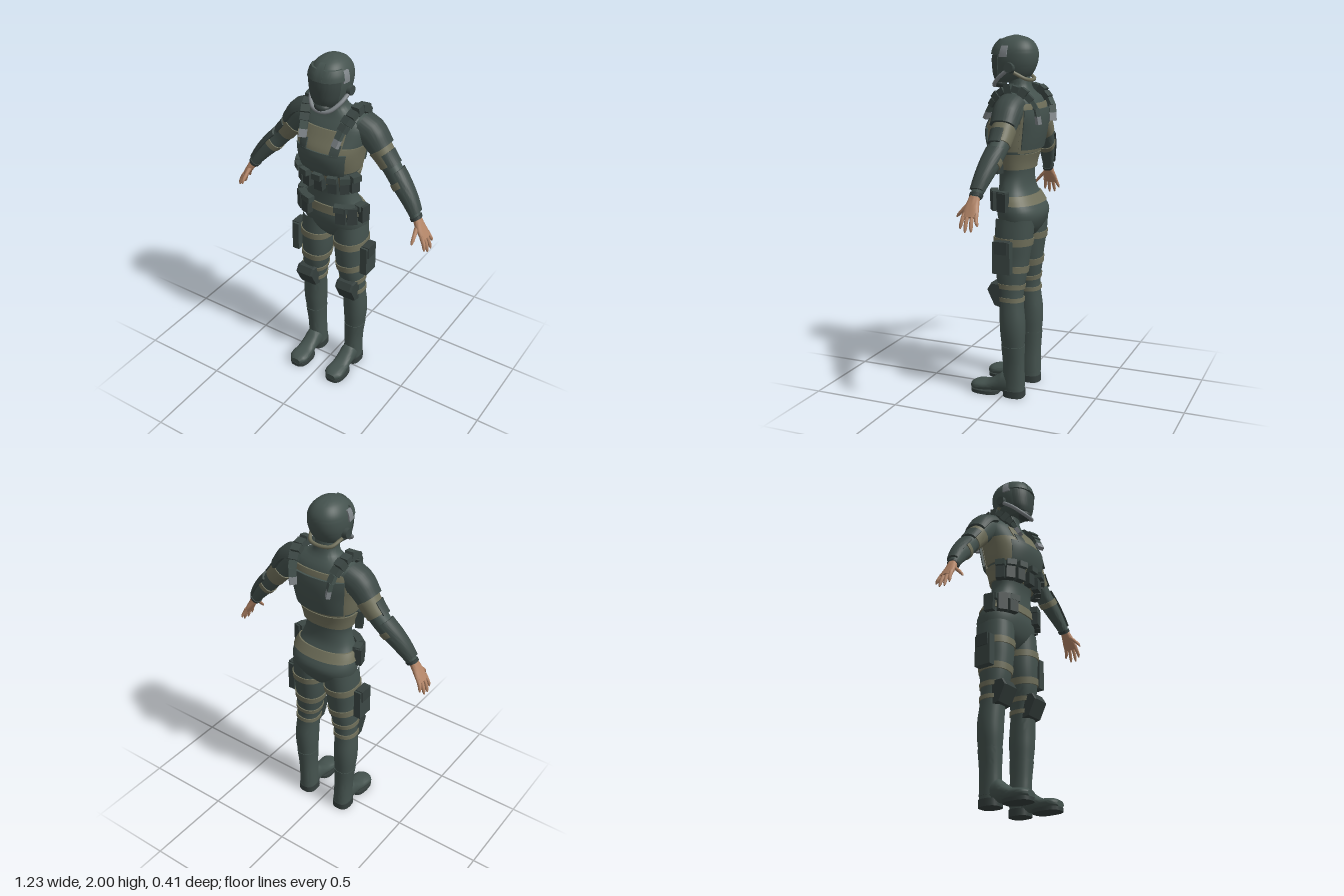
import * as THREE from 'three';
import { toCreasedNormals } from 'three/addons/utils/BufferGeometryUtils.js';

const mat = (name, color) => {
  const m = new THREE.MeshStandardMaterial({ color });
  m.name = name;
  return m;
};
const SUIT = mat('suit green', 0x44524e), ARMOUR = mat('armour green', 0x3c4845), GEAR = mat('gear dark', 0x353f3d);
const OLIVE = mat('webbing olive', 0x70705b), SKIN = mat('skin', 0xb48668), GREY = mat('metal grey', 0x80868a);
const D = Math.PI / 180;

// Cross-sections from bottom to top: [x, y, z, radius across, radius in z]
const TORSO = [
  [0, .92, -.06, .05, .07], [0, .97, -.06, .165, .105], [0, 1.05, -.062, .196, .128], [0, 1.12, -.045, .183, .108],
  [0, 1.18, -.03, .153, .09], [0, 1.25, -.025, .135, .086], [0, 1.32, -.02, .147, .097], [0, 1.4, -.014, .168, .127],
  [0, 1.5, -.018, .184, .143], [0, 1.58, -.04, .198, .126], [0, 1.64, -.052, .195, .105], [0, 1.675, -.055, .16, .085],
  [0, 1.7, -.05, .1, .07], [0, 1.725, -.045, .068, .06], [0, 1.8, -.03, .062, .06]];
const LEG = [
  [.127, .02, -.06, .05, .058], [.128, .1, -.058, .048, .058], [.132, .2, -.057, .048, .058], [.137, .3, -.056, .056, .063],
  [.14, .38, -.055, .064, .069], [.14, .45, -.053, .066, .07], [.135, .55, -.045, .064, .067], [.13, .62, -.042, .066, .069],
  [.122, .7, -.04, .075, .083], [.112, .8, -.042, .084, .095], [.109, .9, -.048, .09, .104], [.102, 1.02, -.056, .09, .108]];
const ARM = [
  [.53, 1.205, -.012, .026, .027], [.47, 1.29, -.03, .041, .038], [.41, 1.36, -.045, .049, .046], [.36, 1.415, -.057, .05, .048],
  [.31, 1.475, -.062, .052, .053], [.26, 1.535, -.06, .061, .059], [.2, 1.6, -.06, .073, .066], [.14, 1.625, -.06, .07, .068]];
const HEAD = [
  [0, 1.75, .02, .055, .07], [0, 1.78, .005, .082, .098], [0, 1.83, -.008, .099, .117], [0, 1.88, -.014, .105, .124],
  [0, 1.93, -.017, .099, .117], [0, 1.97, -.018, .074, .09], [0, 1.99, -.018, .045, .055], [0, 2, -.018, .012, .015]];
// Foot sections run along the foot: [x, forward, -height, half width, half height]
const FOOT = [
  [.127, -.06, -.075, .046, .06], [.127, 0, -.078, .048, .062], [.127, .04, -.065, .048, .045], [.127, .09, -.048, .052, .032],
  [.127, .14, -.043, .057, .029], [.127, .175, -.039, .052, .026], [.127, .197, -.035, .03, .018]];
const PALM = [[.588, 1.115, -.01, .013, .04], [.57, 1.145, -.008, .016, .042], [.548, 1.18, -.008, .02, .034], [.528, 1.215, -.012, .023, .026]];

// Smoothly interpolated [x, z, ru, rv] at height y
function at(s, y) {
  let i = 0;
  while (i < s.length - 2 && y > s[i + 1][1]) i++;
  const h = s[i + 1][1] - s[i][1], f = Math.min(1, Math.max(0, (y - s[i][1]) / h));
  const slope = (k, c) => {
    const a = s[Math.max(0, k - 1)], b = s[Math.min(s.length - 1, k + 1)];
    return (b[c] - a[c]) / (b[1] - a[1]);
  };
  return [0, 2, 3, 4].map(c => {
    const f2 = f * f, f3 = f2 * f;
    return (2 * f3 - 3 * f2 + 1) * s[i][c] + (f3 - 2 * f2 + f) * h * slope(i, c)
      + (3 * f2 - 2 * f3) * s[i + 1][c] + (f3 - f2) * h * slope(i + 1, c);
  });
}

// Surface point: angle 0 is the outer side, 90 degrees the front
function point(s, y, a, g = 0, k = 1, p = 0.88) {
  const [x, z, ru, rv] = at(s, y), e = .004;
  const lo = Math.max(s[0][1], y - e), hi = Math.min(s[s.length - 1][1], y + e);
  const d = (at(s, hi)[0] - at(s, lo)[0]) / (hi - lo), n = Math.hypot(d, 1);
  const pw = v => Math.sign(v) * Math.abs(v) ** p;
  const c = pw(Math.cos(a)) * (ru + g) * k, w = pw(Math.sin(a)) * (rv + g) * k;
  return [x + c / n, y - c * d / n, z + w];
}

// Skin over the sections, or a raised band or plate following them
function wrap(s, y0, y1, { from = 0, to = 360, grow = 0, cap = false, rows = 0, cols = 32, p } = {}) {
  const full = to - from === 360, R = rows || Math.max(3, Math.ceil((y1 - y0) / .02)), rim = -.004;
  const ys = [], as = [], pos = [], idx = [];
  for (let i = 0; i <= R; i++) ys.push([y0 + (y1 - y0) * i / R, grow, 1]);
  for (let j = 0; j <= cols; j++) as.push([(from + (to - from) * j / cols) * D, false]);
  if (grow) { ys.unshift([y0, rim, 1]); ys.push([y1, rim, 1]); }
  if (cap) { ys.unshift([y0, 0, 0]); ys.push([y1, 0, 0]); }
  if (!full) { as.unshift([from * D, true]); as.push([to * D, true]); }
  ys.forEach(([y, g, k]) => as.forEach(([a, edge]) => pos.push(...point(s, y, a, edge ? rim : g, k, p))));
  const W = as.length;
  for (let i = 0; i < ys.length - 1; i++) for (let j = 0; j < W - 1; j++) {
    const a = i * W + j, b = a + W;
    idx.push(a, b, a + 1, b, b + 1, a + 1);
  }
  const geo = new THREE.BufferGeometry();
  geo.setAttribute('position', new THREE.Float32BufferAttribute(pos, 3));
  geo.setIndex(idx);
  return toCreasedNormals(geo, 40 * D);
}

// Reflected copy with the winding put right
function mirrored(geo) {
  const g = geo.index ? geo.toNonIndexed() : geo.clone();
  for (const key of ['position', 'normal']) {
    const v = g.attributes[key], o = v.clone();
    for (let i = 0; i < v.count; i++) {
      const j = i % 3 === 0 ? i : i % 3 === 1 ? i + 1 : i - 1;
      v.setXYZ(i, -o.getX(j), o.getY(j), o.getZ(j));
    }
  }
  return g;
}

// Pouch-like box sitting on a surface
function boxOn(s, y, deg, grow, size) {
  const a = deg * D, [, , ru, rv] = at(s, y);
  return new THREE.BoxGeometry(...size)
    .rotateY(Math.atan2(Math.cos(a) / ru, Math.sin(a) / rv)).translate(...point(s, y, a, grow));
}

export function createModel() {
  const root = new THREE.Group();
  root.name = 'armouredFigure';
  const add = (name, geo, m) => {
    const mesh = new THREE.Mesh(geo, m);
    mesh.name = name;
    root.add(mesh);
  };
  const pair = (name, geo, m) => { add(name + 'Left', geo, m); add(name + 'Right', mirrored(geo), m); };

  // Torso and vest
  add('torso', wrap(TORSO, .92, 1.8, { cap: true, rows: 50, cols: 48 }), SUIT);
  add('vestSides', wrap(TORSO, 1.39, 1.54, { grow: .006, cols: 48 }), OLIVE);
  add('vestUpperChest', wrap(TORSO, 1.5, 1.62, { from: 54, to: 126, grow: .008 }), OLIVE);
  add('chestPlate', wrap(TORSO, 1.37, 1.51, { from: 42, to: 138, grow: .014 }), SUIT);
  pair('chestPlateCorner', wrap(TORSO, 1.5, 1.56, { from: 56, to: 72, grow: .014, cols: 6 }), ARMOUR);
  add('vestBack', wrap(TORSO, 1.38, 1.645, { from: 212, to: 328, grow: .008 }), OLIVE);
  add('backPlate', wrap(TORSO, 1.4, 1.615, { from: 218, to: 322, grow: .02 }), SUIT);
  add('ribBand', wrap(TORSO, 1.29, 1.375, { grow: .01, cols: 48 }), OLIVE);
  for (let i = 0; i < 7; i++) {
    add('ribPouch', boxOn(TORSO, 1.325, 18 + i * 24, .024, [.05, .105, .04]), GEAR);
    add('ribPouchFlap', boxOn(TORSO, 1.362, 18 + i * 24, .028, [.053, .035, .042]), ARMOUR);
  }

  // Hip belt and its pouches
  add('hipBelt', wrap(TORSO, 1.1, 1.15, { grow: .008, cols: 48 }), OLIVE);
  for (const a of [8, 38, 60]) {
    pair('hipPouch', boxOn(TORSO, 1.122, a, .02, [.055, .1, .038]), GEAR);
    pair('hipPouchFlap', boxOn(TORSO, 1.16, a, .023, [.058, .035, .042]), ARMOUR);
  }

  // Padded shoulder straps
  const strap = new THREE.CatmullRomCurve3([[.1, 1.56, .115], [.115, 1.635, .07], [.14, 1.715, -.01],
    [.143, 1.72, -.08], [.125, 1.645, -.168], [.11, 1.54, -.19]].map(p => new THREE.Vector3(...p)));
  const aim = new THREE.Object3D();
  for (let i = 0; i < 12; i++) {
    const t = (i + .5) / 12, pad = i > 1 && i < 9, end = i === 0 || i === 11;
    aim.position.copy(strap.getPointAt(t));
    aim.lookAt(aim.position.clone().add(strap.getTangentAt(t)));
    aim.updateMatrix();
    const size = pad ? [.05, i % 2 ? .05 : .034, .04] : [.04, .022, .045];
    pair(end ? 'strapBuckle' : 'shoulderStrap', new THREE.BoxGeometry(...size).applyMatrix4(aim.matrix), end ? GREY : pad ? ARMOUR : SUIT);
  }

  // Helmet, visor and chin guard
  add('helmet', wrap(HEAD, 1.75, 2, { cap: true, rows: 28, cols: 40 }), SUIT);
  add('visor', wrap(HEAD, 1.765, 1.895, { from: 28, to: 152, grow: .004 }), ARMOUR);
  add('helmetBrow', wrap(HEAD, 1.9, 1.955, { from: 20, to: 160, grow: .01 }), SUIT);
  add('browRidge', wrap(HEAD, 1.9, 1.98, { from: 80, to: 100, grow: .013, cols: 6 }), SUIT);
  pair('templePlate', wrap(HEAD, 1.885, 1.945, { from: 3, to: 22, grow: .008, cols: 6 }), GREY);
  pair('earPiece', new THREE.CylinderGeometry(.026, .03, .03, 16).rotateZ(-90 * D).translate(.105, 1.83, -.02), ARMOUR);
  const tube = (pts, r) => new THREE.TubeGeometry(new THREE.CatmullRomCurve3(pts.map(p => new THREE.Vector3(...p))), 24, r, 8);
  add('chinGuard', tube([[.108, 1.825, -.02], [.088, 1.775, .05], [.04, 1.735, .095], [-.04, 1.735, .095], [-.088, 1.775, .05], [-.108, 1.825, -.02]], .011), GREY);
  add('chinPiece', new THREE.SphereGeometry(.045, 20, 12).scale(1, .6, .8).translate(0, 1.745, .075), GEAR);
  add('napeBand', tube([[.095, 1.805, -.04], [.06, 1.77, -.1], [-.06, 1.77, -.1], [-.095, 1.805, -.04]], .01), OLIVE);

  // Arms and their armour
  pair('arm', wrap(ARM, 1.205, 1.625, { rows: 30 }), SUIT);
  pair('shoulderPad', wrap(ARM, 1.525, 1.618, { from: -70, to: 70, grow: .018 }), ARMOUR);
  pair('sleeveBand', wrap(ARM, 1.45, 1.525, { grow: .005 }), OLIVE);
  pair('elbowPatch', wrap(ARM, 1.44, 1.5, { from: -20, to: 70, grow: .012 }), ARMOUR);
  pair('forearmBand', wrap(ARM, 1.355, 1.38, { grow: .005 }), OLIVE);
  pair('forearmGuard', wrap(ARM, 1.235, 1.415, { from: -65, to: 65, grow: .011 }), ARMOUR);
  pair('cuff', wrap(ARM, 1.208, 1.222, { grow: .005 }), GEAR);

  // Hands
  pair('palm', wrap(PALM, 1.115, 1.215, { cap: true, cols: 20 }), SKIN);
  [[-.04, -.056, 1.075, .602], [-.018, -.025, 1.047, .612], [.005, .008, 1.043, .612], [.025, .036, 1.06, .606]].forEach(([z0, z1, y1, x1]) => {
    const f = [[x1, y1, z1, .004, .004], [x1 - .001, y1 + .008, z1, .008, .008], [.598, 1.095, (z0 + z1) / 2, .01, .01], [.578, 1.135, z0, .011, .011]];
    pair('finger', wrap(f, y1, 1.135, { cap: true, cols: 10, p: 1 }), SKIN);
  });
  const thumb = [[.552, 1.105, .078, .004, .004], [.552, 1.115, .073, .009, .009], [.549, 1.145, .046, .011, .013], [.543, 1.185, .005, .013, .016]];
  pair('thumb', wrap(thumb, 1.105, 1.185, { cap: true, cols: 12, p: 1 }), SKIN);

  // Legs with straps
  pair('leg', wrap(LEG, .02, 1.02, { rows: 50 }), SUIT);
  pair('bootShaft', wrap(LEG, .06, .305, { grow: .003 }), SUIT);
  for (const [y0, y1] of [[.88, .918], [.725, .762], [.632, .658], [.562, .585]])
    pair('legStrap', wrap(LEG, y0, y1, { grow: .006 }), OLIVE);

  // Knee pads
  const knee = new THREE.Shape([[-.01, .66], [.055, .66], [.076, .625], [.034, .54], [-.01, .53]].map(p => new THREE.Vector2(...p)));
  pair('kneePad', new THREE.ExtrudeGeometry(knee, { depth: .085, bevelEnabled: true, bevelSize: .004, bevelThickness: .012, bevelSegments: 1 })
    .rotateY(-90 * D).translate(.177, 0, 0), GEAR);

  // Thigh cases
  pair('thighCase', new THREE.BoxGeometry(.042, .175, .1).translate(.229, .825, -.03), ARMOUR);
  pair('thighCaseFlap', new THREE.BoxGeometry(.046, .07, .075).translate(.233, .882, -.03), GEAR);

  // Boots
  pair('foot', wrap(FOOT, -.06, .197, { cap: true, rows: 20 }).rotateX(90 * D), SUIT);
  const slab = (z, rx, rz, h) => wrap([[.127, 0, z, rx, rz], [.127, h, z, rx, rz]], 0, h, { cap: true, p: .75 });
  pair('sole', slab(.117, .058, .083, .02), GEAR);
  pair('heel', slab(-.058, .054, .061, .04), GEAR);
  return root;
}
